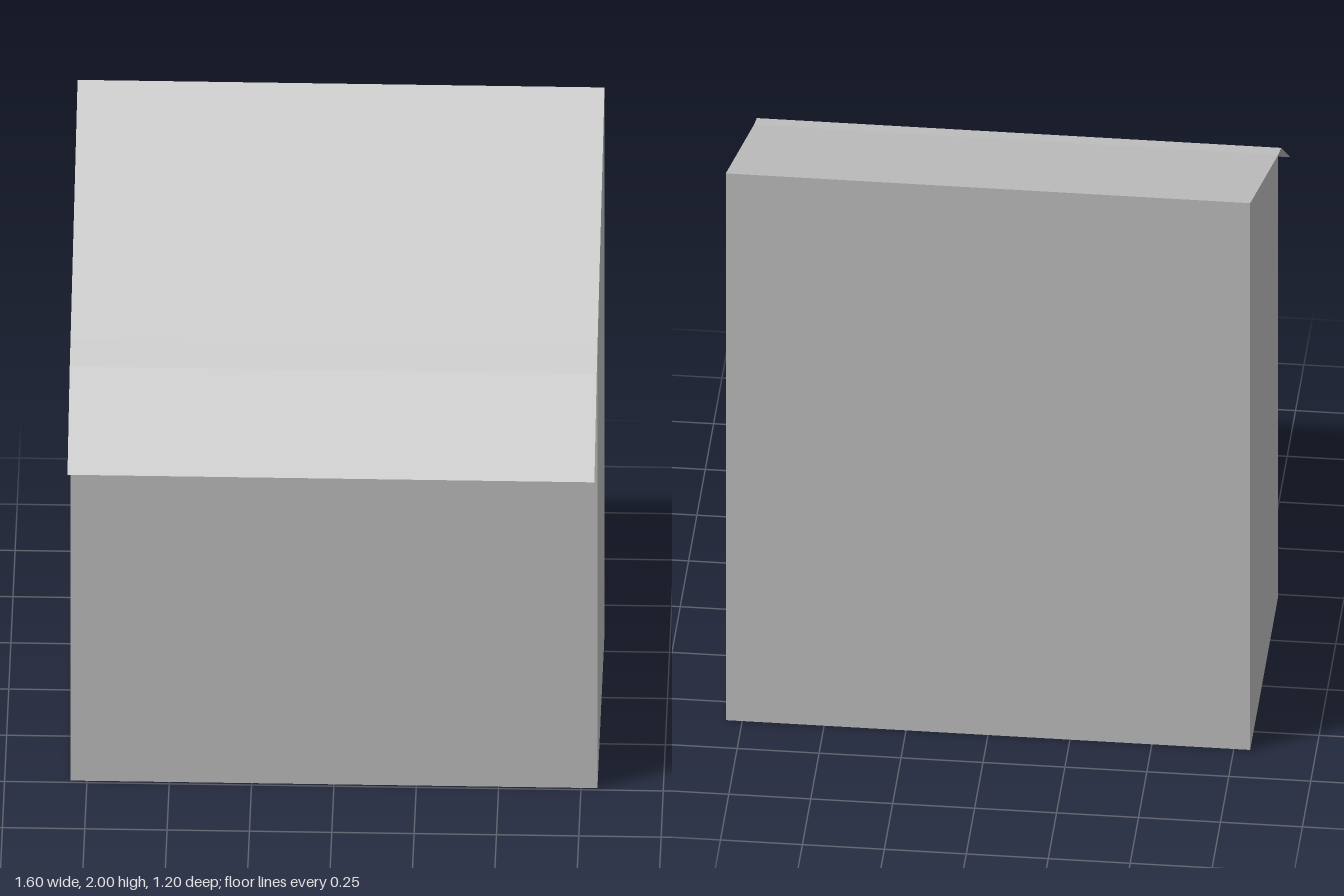
import * as THREE from 'three';

const HALF = 0.8, BACK = -0.6, FRONT = 0.24, WALL = 0.025;
const roofY = (z) => 2 - ((z - BACK) / (FRONT - BACK)) * 0.385;

// Upright wall from z0 to z1 and x0 to x1, its top cut to the roof slope
function wall(name, z0, z1, x0, x1, material) {
  const shape = new THREE.Shape([
    new THREE.Vector2(z0, 0), new THREE.Vector2(z1, 0),
    new THREE.Vector2(z1, roofY(z1)), new THREE.Vector2(z0, roofY(z0)),
  ]);
  const geometry = new THREE.ExtrudeGeometry(shape, { depth: x1 - x0, bevelEnabled: false });
  geometry.rotateY(-Math.PI / 2).translate(x1, 0, 0);
  const mesh = new THREE.Mesh(geometry, material);
  mesh.name = name;
  return mesh;
}

// Folded sheet across the full width, following a [z, y] profile
function sheet(name, profile, material) {
  const positions = [];
  for (let i = 0; i < profile.length - 1; i++) {
    const [z0, y0] = profile[i], [z1, y1] = profile[i + 1];
    positions.push(-HALF, y0, z0, -HALF, y1, z1, HALF, y1, z1);
    positions.push(-HALF, y0, z0, HALF, y1, z1, HALF, y0, z0);
  }
  const geometry = new THREE.BufferGeometry();
  geometry.setAttribute('position', new THREE.Float32BufferAttribute(positions, 3));
  geometry.computeVertexNormals();
  const mesh = new THREE.Mesh(geometry, material);
  mesh.name = name;
  return mesh;
}

export function createModel() {
  const grey = new THREE.MeshStandardMaterial({ color: 0xcccccc, side: THREE.DoubleSide });
  grey.name = 'light grey';
  const group = new THREE.Group();
  group.name = 'shelter';

  // Hollow body, open underneath
  const inner = HALF - WALL;
  group.add(
    wall('leftWall', BACK, FRONT, inner, HALF, grey),
    wall('rightWall', BACK, FRONT, -HALF, -inner, grey),
    wall('backWall', BACK, BACK + WALL, -inner, inner, grey),
    wall('frontWall', FRONT - WALL, FRONT, -inner, inner, grey),
  );

  // Sloping roof and the thin awning folded down in front of it
  group.add(
    sheet('roof', [[BACK, 2], [FRONT, 1.615]], grey),
    sheet('awning', [[FRONT, 1.615], [0.33, 1.58], [0.6, 1.365]], grey),
  );
  return group;
}
